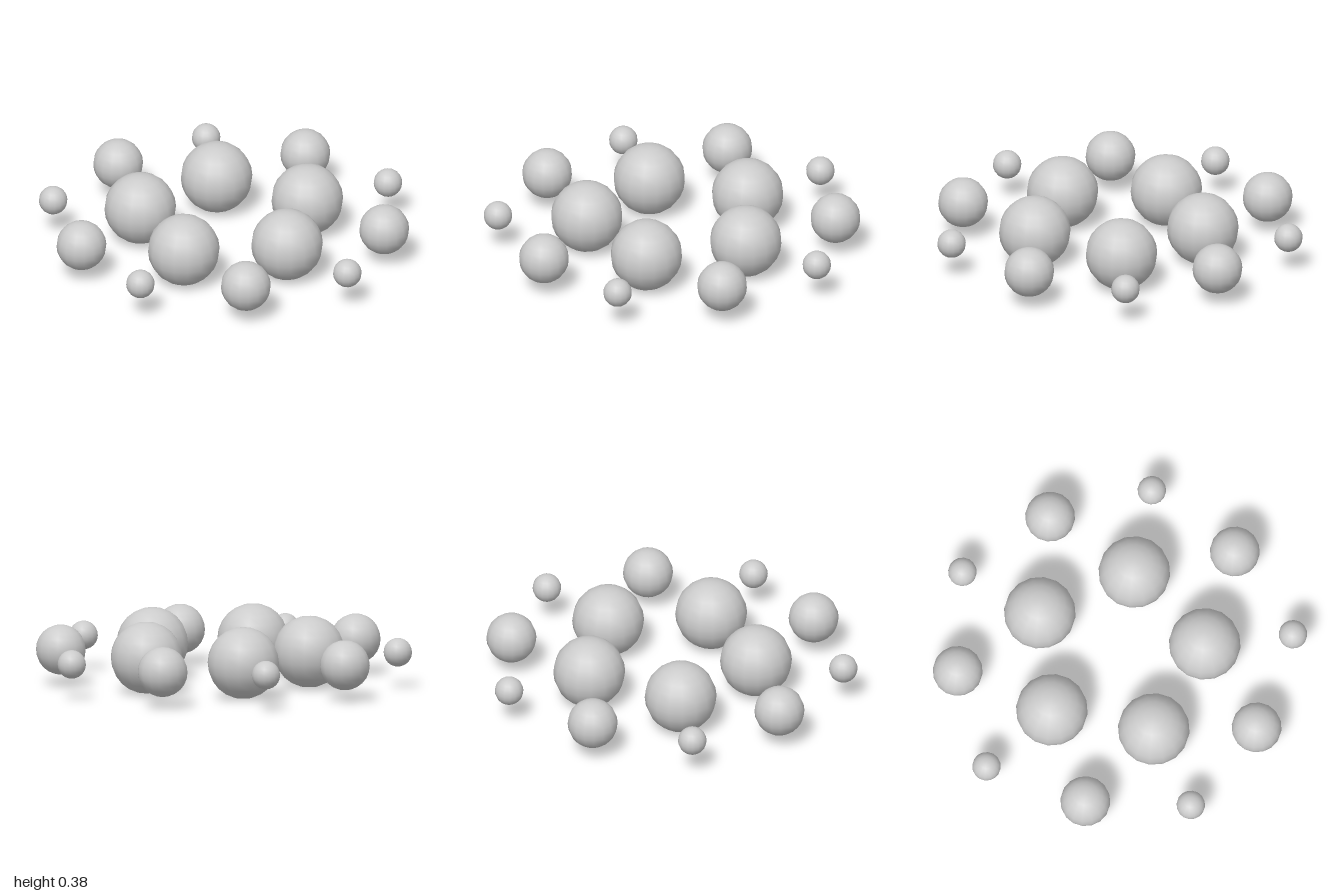
import * as THREE from 'three';

// Three concentric rings of five balls: inner ones large, outer ones small.
const CENTRE_Y = 0.192;
const CENTRE_Z = 0.015;
const RINGS = [
  { name: 'largeBall', ringRadius: 0.469, ballRadius: 0.191, startAngle: Math.PI },
  { name: 'mediumBall', ringRadius: 0.85, ballRadius: 0.133, startAngle: 0 },
  { name: 'smallBall', ringRadius: 0.94, ballRadius: 0.076, startAngle: Math.PI },
];

export function createModel() {
  const model = new THREE.Group();
  model.name = 'ballRings';
  const material = new THREE.MeshStandardMaterial({ color: 0xcccccc });

  for (const { name, ringRadius, ballRadius, startAngle } of RINGS) {
    const geometry = new THREE.SphereGeometry(ballRadius, 16, 12);
    const ring = new THREE.Group();
    ring.name = name + 'Ring';
    ring.position.set(0, CENTRE_Y, CENTRE_Z);

    // angle 0 points to the front (+z)
    for (let i = 0; i < 5; i++) {
      const angle = startAngle + (i * Math.PI * 2) / 5;
      const ball = new THREE.Mesh(geometry, material);
      ball.name = name + (i + 1);
      ball.position.set(Math.sin(angle) * ringRadius, 0, Math.cos(angle) * ringRadius);
      ring.add(ball);
    }
    model.add(ring);
  }
  return model;
}
